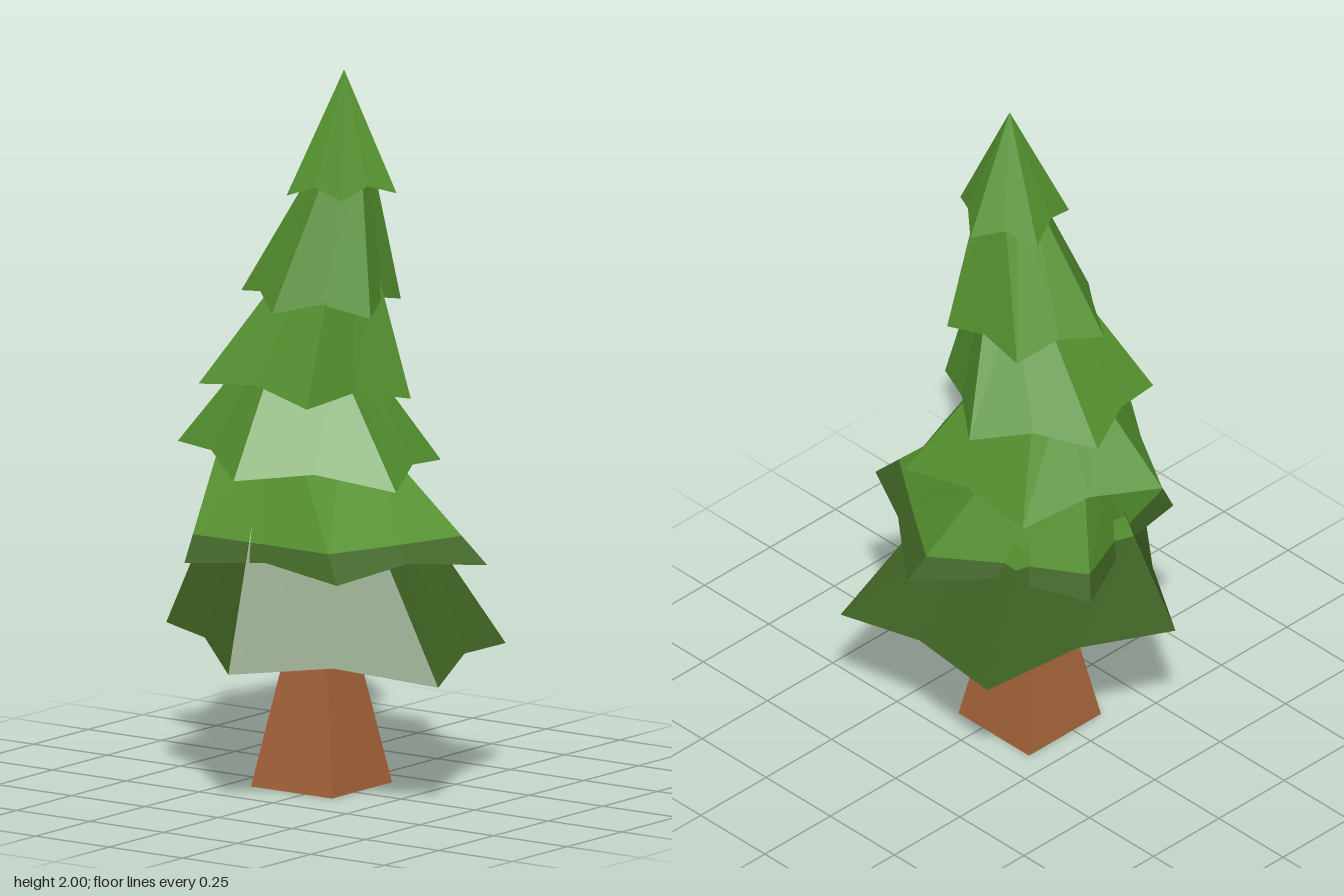
import * as THREE from 'three';

const POINTS = 5;
const SHADE_LINE = 0.72; // height where the foliage changes colour
const AXIS_Z = -0.035;

// Base: x centre, height, x and z radius, tilt. Top: x centre, height, radius.
const TIERS = [
  { x: 0.0, y: 0.39, rx: 0.486, rz: 0.489, tilt: 0.076, topX: -0.08, topY: 0.78, topR: 0.27 },
  { x: 0.0, y: 0.645, rx: 0.442, rz: 0.422, tilt: 0.0, topX: -0.115, topY: 0.95, topR: 0.235 },
  { x: -0.083, y: 0.897, rx: 0.39, rz: 0.354, tilt: 0.074, topX: -0.1, topY: 1.2, topR: 0.15 },
  { x: -0.107, y: 1.11, rx: 0.313, rz: 0.289, tilt: 0.076, topX: -0.01, topY: 1.46, topR: 0.125 },
  { x: -0.048, y: 1.347, rx: 0.231, rz: 0.225, tilt: 0.06, topX: 0.035, topY: 1.75, topR: 0.075 },
  { x: 0.022, y: 1.66, rx: 0.158, rz: 0.158, tilt: -0.03, topX: 0.03, topY: 2.0, topR: 0 },
];

// Faceted band between two closed rings, seen from outside
function band(lower, upper) {
  const pos = [];
  const n = lower.length;
  for (let i = 0; i < n; i++) {
    const j = (i + 1) % n;
    const tris = [[lower[i], lower[j], upper[j]]];
    if (upper[i].distanceTo(upper[j]) > 1e-5) tris.push([lower[i], upper[j], upper[i]]);
    for (const t of tris) for (const p of t) pos.push(p.x, p.y, p.z);
  }
  const g = new THREE.BufferGeometry();
  g.setAttribute('position', new THREE.Float32BufferAttribute(pos, 3));
  g.computeVertexNormals();
  return g;
}

// Star-shaped skirt: drooping tips with raised notches between them
function tierRings(t, phase) {
  const base = [], top = [];
  for (let i = 0; i < POINTS * 2; i++) {
    const a = phase + (i * Math.PI) / POINTS;
    const notch = i % 2 === 1;
    const k = notch ? 0.765 : 1;
    const dx = Math.sin(a) * t.rx * k;
    const dz = Math.cos(a) * t.rz * k;
    base.push(new THREE.Vector3(t.x + dx, t.y - t.tilt * dx + (notch ? 0.03 : 0), AXIS_Z + dz));
    const r = t.topR * (notch ? 0.79 : 1);
    top.push(new THREE.Vector3(t.topX + Math.sin(a) * r, t.topY, AXIS_Z + Math.cos(a) * r));
  }
  return { base, top };
}

export function createModel() {
  const tree = new THREE.Group();
  tree.name = 'pineTree';

  const make = (name, color) => {
    const m = new THREE.MeshStandardMaterial({ color, side: THREE.DoubleSide, flatShading: true });
    m.name = name;
    return m;
  };
  const leafGreen = make('leafGreen', 0x55922f);
  const deepGreen = make('deepGreen', 0x406524);
  const barkBrown = make('barkBrown', 0xa36239);

  const add = (parent, name, geometry, material) => {
    const mesh = new THREE.Mesh(geometry, material);
    mesh.name = name;
    parent.add(mesh);
    return mesh;
  };

  // Square tapering trunk
  const trunkGeo = new THREE.CylinderGeometry(0.03 * Math.SQRT2, 0.1375 * Math.SQRT2, 0.6, 4);
  trunkGeo.rotateY(Math.PI / 4);
  add(tree, 'trunk', trunkGeo, barkBrown).position.set(-0.043, 0.3, -0.03);

  // Foliage tiers, each turned half a turn from the one below
  TIERS.forEach((t, i) => {
    const tier = new THREE.Group();
    tier.name = 'foliageTier' + (i + 1);
    const { base, top } = tierRings(t, i % 2 ? Math.PI : 0);
    if (t.y < SHADE_LINE) {
      // Low tiers are split level into a deep hem and a lighter crown
      const cut = base.map((b, k) => b.clone().lerp(top[k], (SHADE_LINE - b.y) / (top[k].y - b.y)));
      add(tier, 'deepHem', band(base, cut), deepGreen);
      add(tier, 'lightCrown', band(cut, top), leafGreen);
    } else {
      add(tier, 'skirt', band(base, top), leafGreen);
    }
    tree.add(tier);
  });

  return tree;
}
